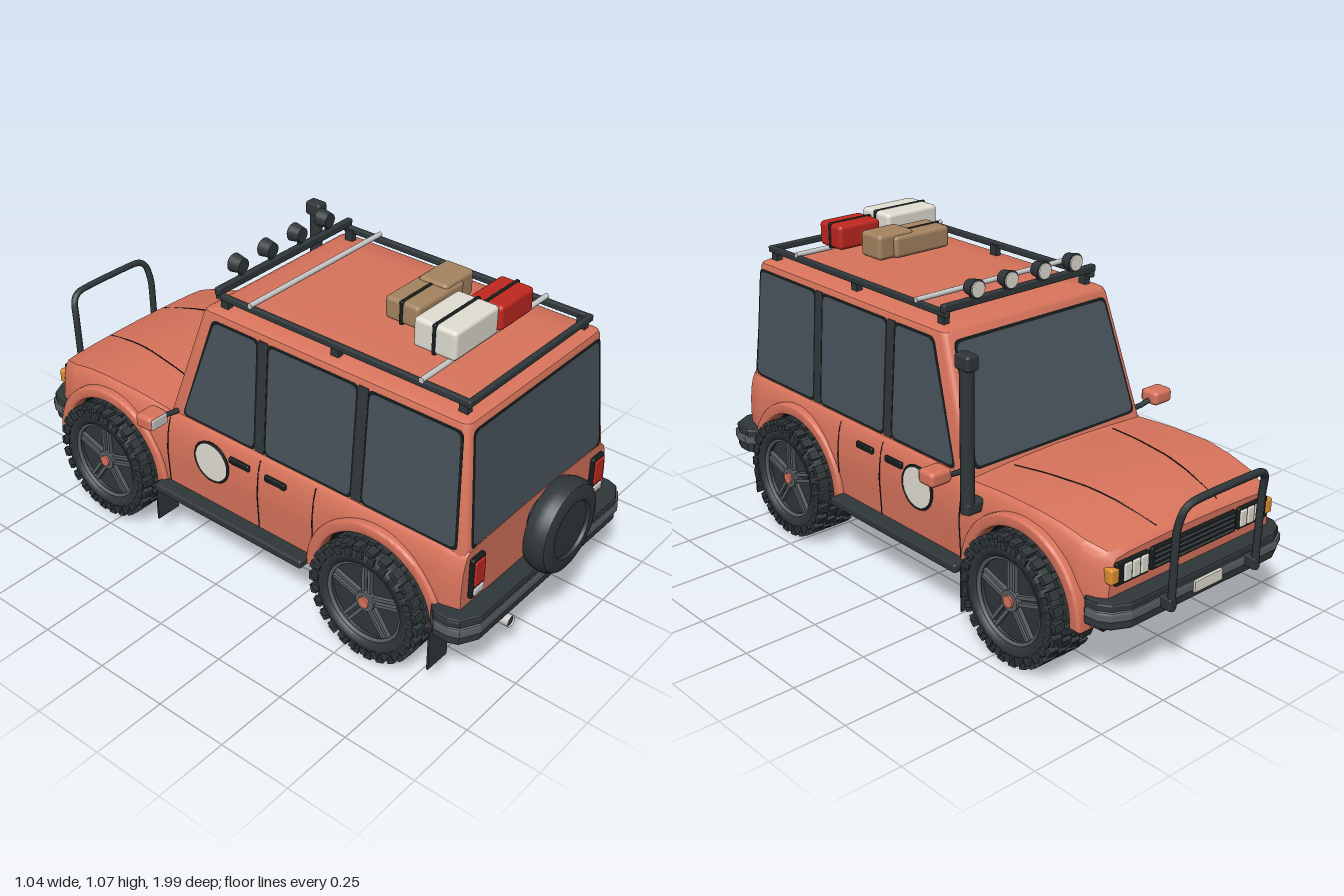
import * as THREE from 'three';
import { mergeGeometries, toCreasedNormals } from 'three/addons/utils/BufferGeometryUtils.js';
import { RoundedBoxGeometry } from 'three/addons/geometries/RoundedBoxGeometry.js';

const mat = (color) => new THREE.MeshStandardMaterial({ color, side: THREE.DoubleSide });
const paint = mat(0xd9745c), dark = mat(0x30373a), black = mat(0x161b1c), glass = mat(0x48535b);
const grey = mat(0xcccccc), steel = mat(0x5a6063), red = mat(0xc0281f), amber = mat(0xe09030);
const cream = mat(0xe2dfd4), tan = mat(0xa58460);
const V = (x, y, z) => new THREE.Vector3(x, y, z);
const SIDES = [1, -1], AXLES = [0.57, -0.56], AXLE_Y = 0.208, ARCH = 0.226;

function add(parent, name, geo, material, x = 0, y = 0, z = 0) {
  const m = new THREE.Mesh(geo, material);
  m.name = name;
  m.position.set(x, y, z);
  parent.add(m);
  return m;
}
const box = (w, h, d) => new THREE.BoxGeometry(w, h, d);
const rbox = (w, h, d, r = 0.01) => new RoundedBoxGeometry(w, h, d, 2, r);
const disc = (r, h, seg = 28) => new THREE.CylinderGeometry(r, r, h, seg);
const tube = (pts, r, seg = 24) => new THREE.TubeGeometry(new THREE.CatmullRomCurve3(pts, false, 'catmullrom', 0.3), seg, r, 8);

// Linear lookup in [key, value] pairs
function lookup(t, v) {
  if (v <= t[0][0]) return t[0][1];
  for (let i = 1; i < t.length; i++) {
    const [a, p] = t[i - 1], [b, q] = t[i];
    if (v <= b) return p + (q - p) * (v - a) / (b - a);
  }
  return t[t.length - 1][1];
}

// Skin over matching cross-sections, optionally closed round, both ends capped
function loft(rings, closed, crease = 0.5) {
  const n = rings[0].length, pos = [], idx = [];
  rings.forEach((r) => r.forEach((p) => pos.push(p.x, p.y, p.z)));
  for (let i = 0; i < rings.length - 1; i++) for (let j = 0; j < (closed ? n : n - 1); j++) {
    const a = i * n + j, b = i * n + (j + 1) % n;
    idx.push(a, b, a + n, b, b + n, a + n);
  }
  [0, rings.length - 1].forEach((i) => {
    const c = rings[i].reduce((s, p) => s.add(p), V(0, 0, 0)).divideScalar(n), k = pos.length / 3;
    pos.push(c.x, c.y, c.z);
    for (let j = 0; j < n; j++) {
      const a = i * n + j, b = i * n + (j + 1) % n;
      if (i) idx.push(k, a, b); else idx.push(k, b, a);
    }
  });
  const g = new THREE.BufferGeometry();
  g.setAttribute('position', new THREE.Float32BufferAttribute(pos, 3));
  g.setIndex(idx);
  return toCreasedNormals(g, crease);
}

// Lower body: height of the top line, half width and arch line along z
const TOP = [[-0.865, 0.425], [-0.85, 0.442], [-0.8, 0.458], [-0.7, 0.482], [-0.6, 0.495], [-0.45, 0.495], [-0.3, 0.485], [-0.26, 0.5]];
const WIDE = [[-0.865, 0.35], [-0.84, 0.368], [-0.78, 0.39], [-0.6, 0.405], [0.82, 0.405], [0.875, 0.39]];
const TUCK = [[0, 0.91], [0.012, 0.94], [0.03, 0.96], [0.06, 0.98], [0.13, 1], [0.3, 0.98]];
const halfWidth = (z, y) => lookup(WIDE, z) * lookup(TUCK, lookup(TOP, z) - y);
const hoodY = (x, z) => lookup(TOP, z) + 0.012 * (1 - (x / 0.37) ** 2);

function bodyGeometry() {
  const zs = [-0.865, -0.85, -0.84, -0.82, -0.3, -0.26, -0.1, 0.1, 0.82, 0.85, 0.875];
  AXLES.forEach((c) => { for (let k = 0; k <= 20; k++) zs.push(c + ARCH * Math.cos(Math.PI * k / 20)); });
  zs.sort((a, b) => a - b);
  return loft(zs.map((z) => {
    const top = lookup(TOP, z);
    let low = 0.208;
    AXLES.forEach((c) => { low = Math.max(low, AXLE_Y + Math.sqrt(Math.max(0, ARCH ** 2 - (z - c) ** 2))); });
    const base = Math.max(low, top - 0.06), half = [];
    for (let k = 0; k < 5; k++) half.push(low + (base - low) * k / 5);
    [0.06, 0.045, 0.03, 0.02, 0.012, 0.005, 0].forEach((d) => half.push(Math.max(low, top - d)));
    const side = half.map((y) => V(halfWidth(z, y), y, z));
    const w = halfWidth(z, top), over = [0.85, 0.6, 0.3, 0].map((f) => V(w * f, hoodY(w * f, z), z));
    const right = [...side, ...over];
    return [...right, ...right.slice(0, -1).reverse().map((p) => V(-p.x, p.y, p.z))];
  }), false, 0.6);
}

// Cabin: rounded rectangles stacked upwards, [y, half width, front z, rear z]
function cabinGeometry() {
  const rows = [[0.46, 0.3764, -0.3117, 0.8737], [0.89, 0.3454, -0.167, 0.8376], [0.903, 0.341, -0.16, 0.833],
    [0.911, 0.328, -0.145, 0.82], [0.916, 0.25, -0.07, 0.75], [0.92, 0.12, 0.1, 0.6]];
  return loft(rows.map(([y, w, f, b]) => {
    const ring = [], r = 0.025;
    [[1, -1], [-1, -1], [-1, 1], [1, 1]].forEach(([sx, sz], q) => {
      for (let k = 0; k <= 4; k++) {
        const t = (q + k / 4) * Math.PI / 2;
        ring.push(V(sx * (w - r) + r * Math.cos(t), y, (sz < 0 ? f + r : b - r) - r * Math.sin(t)));
      }
    });
    return ring;
  }), true, 0.6);
}

// Glass with a dark seal; corners lie in (u, v), place() maps them onto the cabin
function pane(parent, name, corners, place) {
  const cu = corners.reduce((s, c) => s + c[0], 0) / 4, cv = corners.reduce((s, c) => s + c[1], 0) / 4;
  [[0.009, 0.002, black, ' seal'], [0, 0.004, glass, '']].forEach(([grow, lift, m, suffix]) => {
    const p = corners.map(([u, v]) => new THREE.Vector2(u + Math.sign(u - cu) * grow, v + Math.sign(v - cv) * grow));
    const s = new THREE.Shape();
    p.forEach((c, i) => {
      const a = c.clone().add(p[(i + 3) % 4].clone().sub(c).setLength(0.022));
      const b = c.clone().add(p[(i + 1) % 4].clone().sub(c).setLength(0.022));
      if (i) s.lineTo(a.x, a.y); else s.moveTo(a.x, a.y);
      s.quadraticCurveTo(c.x, c.y, b.x, b.y);
    });
    const g = new THREE.ShapeGeometry(s, 5), at = g.attributes.position;
    for (let i = 0; i < at.count; i++) at.setXYZ(i, ...place(at.getX(i), at.getY(i), lift).toArray());
    g.computeVertexNormals();
    add(parent, name + suffix, g, m);
  });
}

// Wheel with axle along x, outer face on +x
function wheel() {
  const g = new THREE.Group();
  const profile = [[0.135, -0.07], [0.165, -0.082], [0.185, -0.076], [0.193, -0.06], [0.195, 0], [0.193, 0.06], [0.185, 0.076], [0.165, 0.082], [0.14, 0.076], [0.134, 0.05]];
  add(g, 'tyre', new THREE.LatheGeometry(profile.map((p) => new THREE.Vector2(...p)), 40).rotateZ(-Math.PI / 2), dark);
  const knobs = [], count = 26;
  for (let k = 0; k < count; k++) {
    [[-0.064, 0, 0.036], [-0.022, 0.5, 0.034], [0.022, 0, 0.034], [0.064, 0.5, 0.036]].forEach(([x, o, w]) => {
      knobs.push(box(w, 0.02, 0.028).translate(x, 0.197, 0).rotateX((k + o) / count * Math.PI * 2));
    });
    SIDES.forEach((s) => knobs.push(box(0.012, 0.026, 0.022).translate(s * 0.08, 0.182, 0).rotateX((k + 0.25) / count * Math.PI * 2)));
  }
  add(g, 'treadBlocks', mergeGeometries(knobs), dark);
  add(g, 'rimDish', disc(0.138, 0.1, 36).rotateZ(Math.PI / 2), dark);
  add(g, 'rimEdge', new THREE.TorusGeometry(0.136, 0.007, 8, 40).rotateY(Math.PI / 2), steel, 0.068);
  const spokes = [];
  for (let k = 0; k < 5; k++) SIDES.forEach((s) => spokes.push(box(0.014, 0.11, 0.011).translate(0.056, 0.078, s * 0.011).rotateX(k * Math.PI * 0.4)));
  add(g, 'spokes', mergeGeometries(spokes), steel);
  add(g, 'hub', disc(0.034, 0.03, 20).rotateZ(Math.PI / 2), steel, 0.055);
  add(g, 'hubCap', disc(0.02, 0.03, 8).rotateZ(Math.PI / 2), paint, 0.062);
  return g;
}

// Bumper: plan outline (half, x and z) swept upwards; dir is +1 for the rear
function bumper(parent, name, half, dir, y, h, material, out = 0) {
  const outer = half.map(([x, z]) => [x + out, z + out]), inner = half.map(([x, z]) => [x - 0.045, z - 0.05]).reverse();
  const right = [...outer, ...outer.map(([x, z]) => [-x, z]).reverse()];
  const ring = [...right, ...inner.map(([x, z]) => [-x, z]).reverse(), ...inner];
  const s = new THREE.Shape(ring.map(([x, z]) => new THREE.Vector2(x, -dir * z)));
  const bev = 0.008;
  const g = new THREE.ExtrudeGeometry(s, { depth: h - 2 * bev, bevelSize: bev, bevelThickness: bev, bevelSegments: 2 });
  add(parent, name, g.rotateX(-Math.PI / 2), material, 0, y + bev, 0);
}

export function createModel() {
  const car = new THREE.Group();
  car.name = 'offRoadCar';
  add(car, 'lowerBody', bodyGeometry(), paint);
  add(car, 'cabin', cabinGeometry(), paint);

  // Underside
  add(car, 'chassis', box(0.57, 0.23, 1.68), black, 0, 0.318, 0.005);
  [[0.78, 0.67, 0], [0.72, 0.07, -0.825], [0.76, 0.07, 0.835]].forEach(([w, d, z]) => add(car, 'floor', box(w, 0.02, d), black, 0, 0.215, z));
  add(car, 'exhaust', new THREE.CylinderGeometry(0.02, 0.02, 0.08, 16, 1, true).rotateX(Math.PI / 2), grey, -0.18, 0.155, 0.885);
  add(car, 'exhaustCore', disc(0.016, 0.07, 16).rotateX(Math.PI / 2), dark, -0.18, 0.155, 0.885);

  // Windows
  const rearPlace = (u, v, l) => V(u, v, 0.8737 - (v - 0.46) * 0.084 + l);
  const frontPlace = (u, v, l) => V(u, v, -0.3117 + (v - 0.46) * 0.3365 - l);
  pane(car, 'rearWindow', [[-0.338, 0.508], [0.338, 0.508], [0.318, 0.876], [-0.318, 0.876]], rearPlace);
  pane(car, 'windscreen', [[-0.338, 0.515], [0.338, 0.515], [0.312, 0.872], [-0.312, 0.872]], frontPlace);
  SIDES.forEach((s) => {
    const place = (u, v, l) => V(s * (0.3764 - (v - 0.46) * 0.0721 + l), v, u);
    [[0.835, 0.815, 0.5, 0.5], [0.452, 0.452, 0.118, 0.118], [0.068, 0.068, -0.232, -0.107]].forEach(([a, b, c, d]) =>
      pane(car, 'sideWindow', [[a, 0.507], [b, 0.876], [d, 0.876], [c, 0.507]], place));
    [0.476, 0.093].forEach((z) => add(car, 'doorPillar', box(0.008, 0.385, 0.036), dark, s * 0.359, 0.692, z).rotation.z = s * 0.072);
  });

  // Parts found on both sides
  SIDES.forEach((s) => {
    AXLES.forEach((z) => {
      const w = wheel();
      w.name = 'wheel';
      w.position.set(s * 0.375, AXLE_Y, z);
      if (s < 0) w.rotation.y = Math.PI;
      car.add(w);
      add(car, 'archLiner', new THREE.CylinderGeometry(ARCH, ARCH, 0.125, 24, 1, true, 0, Math.PI).rotateZ(Math.PI / 2), black, s * 0.337, AXLE_Y, z);
      const arch = new THREE.Shape().absarc(0, 0, 0.25, 0, Math.PI, false);
      arch.absarc(0, 0, 0.226, Math.PI, 0, true);
      const g = new THREE.ExtrudeGeometry(arch, { depth: 0.04, bevelSize: 0.008, bevelThickness: 0.01, bevelSegments: 3, curveSegments: 28 });
      add(car, 'wheelArch', toCreasedNormals(g.translate(0, 0, -0.02).rotateY(Math.PI / 2), 0.6), paint, s * 0.386, AXLE_Y, z);
      add(car, 'mudFlap', box(0.095, 0.15, 0.006), dark, s * 0.385, 0.142, z + 0.232);
    });
    add(car, 'sideStep', rbox(0.06, 0.03, 0.64, 0.008), dark, s * 0.42, 0.214, 0);
    [0.18, 0.03].forEach((z) => add(car, 'doorHandle', rbox(0.014, 0.022, 0.085, 0.005), black, s * 0.402, 0.44, z));
    add(car, 'roundel', disc(0.07, 0.012).rotateZ(Math.PI / 2), cream, s * 0.402, 0.395, -0.09);
    add(car, 'roundelRim', new THREE.TorusGeometry(0.071, 0.005, 6, 32).rotateY(Math.PI / 2), black, s * 0.405, 0.395, -0.09);
    [0.33, 0.105, -0.29].forEach((z) => {
      const pts = [0.225, 0.3, 0.36, 0.42, 0.455, 0.48].map((y) => V(s * halfWidth(z, y), y, z));
      add(car, 'doorSeam', tube(pts, 0.002), black);
    });
    add(car, 'bonnetSeam', tube([-0.84, -0.7, -0.6, -0.45, -0.33].map((z) => {
      const x = 0.13 + (z + 0.85) * 0.16;
      return V(s * x, hoodY(x, z), z);
    }), 0.002), black);
    // Door mirrors
    add(car, 'mirrorArm', tube([V(s * 0.36, 0.5, -0.265), V(s * 0.41, 0.505, -0.27), V(s * 0.46, 0.52, -0.275)], 0.009), dark);
    add(car, 'mirrorHousing', rbox(0.082, 0.05, 0.07, 0.015), paint, s * 0.481, 0.524, -0.273);
    add(car, 'mirrorGlass', rbox(0.066, 0.036, 0.008, 0.004), grey, s * 0.481, 0.524, -0.238);
    // Lamps
    add(car, 'tailLampBase', rbox(0.062, 0.142, 0.025, 0.006), black, s * 0.323, 0.403, 0.877);
    add(car, 'tailLamp', rbox(0.05, 0.088, 0.02, 0.005), red, s * 0.323, 0.42, 0.885);
    add(car, 'reverseLamp', rbox(0.05, 0.026, 0.02, 0.005), grey, s * 0.323, 0.356, 0.885);
    add(car, 'headlampBase', rbox(0.135, 0.072, 0.02, 0.005), black, s * 0.262, 0.378, -0.866);
    [0, 1, 2].forEach((k) => add(car, 'headlamp', rbox(0.031, 0.056, 0.02, 0.005), cream, s * (0.216 + k * 0.034), 0.378, -0.871));
    add(car, 'indicator', rbox(0.034, 0.05, 0.045, 0.008), amber, s * 0.335, 0.378, -0.856);
  });

  // Grille and bumpers
  add(car, 'grille', rbox(0.37, 0.072, 0.02, 0.005), black, 0, 0.378, -0.866);
  for (let k = 0; k < 4; k++) add(car, 'grilleSlat', box(0.35, 0.006, 0.012), steel, 0, 0.354 + k * 0.016, -0.873);
  const rearPlan = [[0.437, 0.825], [0.437, 0.87], [0.425, 0.9], [0.37, 0.93]];
  const frontPlan = [[0.385, 0.82], [0.38, 0.86], [0.36, 0.89], [0.31, 0.915]];
  bumper(car, 'rearBumper', rearPlan, 1, 0.22, 0.09, dark);
  bumper(car, 'rearBumperStrip', rearPlan, 1, 0.25, 0.036, steel, 0.006);
  bumper(car, 'frontBumper', frontPlan, -1, 0.225, 0.085, dark);
  bumper(car, 'frontBumperStrip', frontPlan, -1, 0.252, 0.034, steel, 0.006);
  add(car, 'frontPlate', box(0.12, 0.035, 0.008), cream, 0, 0.268, -0.932);

  // Bull bar
  const hoop = [[-0.185, 0.25, -0.955], [-0.185, 0.38, -0.958], [-0.185, 0.5, -0.962], [-0.175, 0.565, -0.975], [-0.13, 0.59, -0.983]];
  const hoopPts = [...hoop, ...hoop.map(([x, y, z]) => [-x, y, z]).reverse()].map((p) => V(...p));
  add(car, 'bullBar', tube(hoopPts, 0.012, 60), dark);
  SIDES.forEach((s) => add(car, 'bullBarMount', rbox(0.03, 0.04, 0.07, 0.006), dark, s * 0.185, 0.27, -0.93));

  // Spare wheel, turned to face the rear
  const cover = [[0, -0.045], [0.12, -0.045], [0.145, -0.035], [0.153, -0.01], [0.153, 0.015], [0.143, 0.036], [0.12, 0.046], [0.097, 0.044], [0.092, 0.034], [0, 0.038]];
  const spare = new THREE.LatheGeometry(cover.map((p) => new THREE.Vector2(...p)), 44).rotateX(Math.PI / 2);
  add(car, 'spareWheel', toCreasedNormals(spare, 0.7), dark, 0, 0.43, 0.952);
  add(car, 'spareMount', disc(0.06, 0.06).rotateX(Math.PI / 2), black, 0, 0.43, 0.885);

  // Snorkel on the left wing
  add(car, 'snorkelPipe', disc(0.022, 0.47, 16), dark, 0.434, 0.655, -0.365);
  add(car, 'snorkelElbow', rbox(0.08, 0.045, 0.044, 0.012), dark, 0.412, 0.437, -0.365);
  add(car, 'snorkelHead', rbox(0.046, 0.05, 0.064, 0.01), dark, 0.434, 0.897, -0.365);

  // Roof rack
  const rack = new THREE.Group();
  rack.name = 'roofRack';
  car.add(rack);
  SIDES.forEach((s) => {
    add(rack, 'rackRail', rbox(0.018, 0.022, 0.95, 0.005), dark, s * 0.305, 0.948, 0.342);
    [0.79, 0.335, -0.1].forEach((z) => add(rack, 'rackFoot', box(0.022, 0.055, 0.03), dark, s * 0.298, 0.922, z));
  });
  add(rack, 'rackRearBar', rbox(0.63, 0.022, 0.018, 0.005), dark, 0, 0.948, 0.808);
  add(rack, 'rackLampBar', rbox(0.64, 0.026, 0.022, 0.005), dark, 0, 0.966, -0.12);
  [0.01, 0.65].forEach((z) => add(rack, 'rackCrossbar', disc(0.009, 0.63, 12).rotateZ(Math.PI / 2), grey, 0, 0.962, z));
  [-0.206, -0.07, 0.07, 0.206].forEach((x) => {
    add(rack, 'lampStem', box(0.012, 0.03, 0.012), dark, x, 0.985, -0.125);
    add(rack, 'spotLamp', new THREE.CylinderGeometry(0.024, 0.031, 0.04, 20).rotateX(Math.PI / 2), dark, x, 1.012, -0.132);
    add(rack, 'spotLampLens', disc(0.026, 0.008, 20).rotateX(Math.PI / 2), cream, x, 1.012, -0.153);
  });

  // Luggage: [name, material, width, height, depth, x, y, z]
  [['whiteCase', cream, 0.215, 0.096, 0.15, -0.093, 1.022, 0.605], ['redCase', red, 0.17, 0.084, 0.12, 0.11, 1.013, 0.62],
    ['longBag', tan, 0.23, 0.075, 0.125, -0.003, 1.007, 0.427], ['smallBag', tan, 0.145, 0.086, 0.105, 0.097, 1.013, 0.43]].forEach(([name, m, w, h, d, x, y, z]) => {
    add(rack, name, rbox(w, h, d, 0.014), m, x, y, z);
    if (name !== 'smallBag') add(rack, name + 'Strap', rbox(w + 0.005, h + 0.005, 0.014, 0.005), black, x, y, z);
  });
  return car;
}
